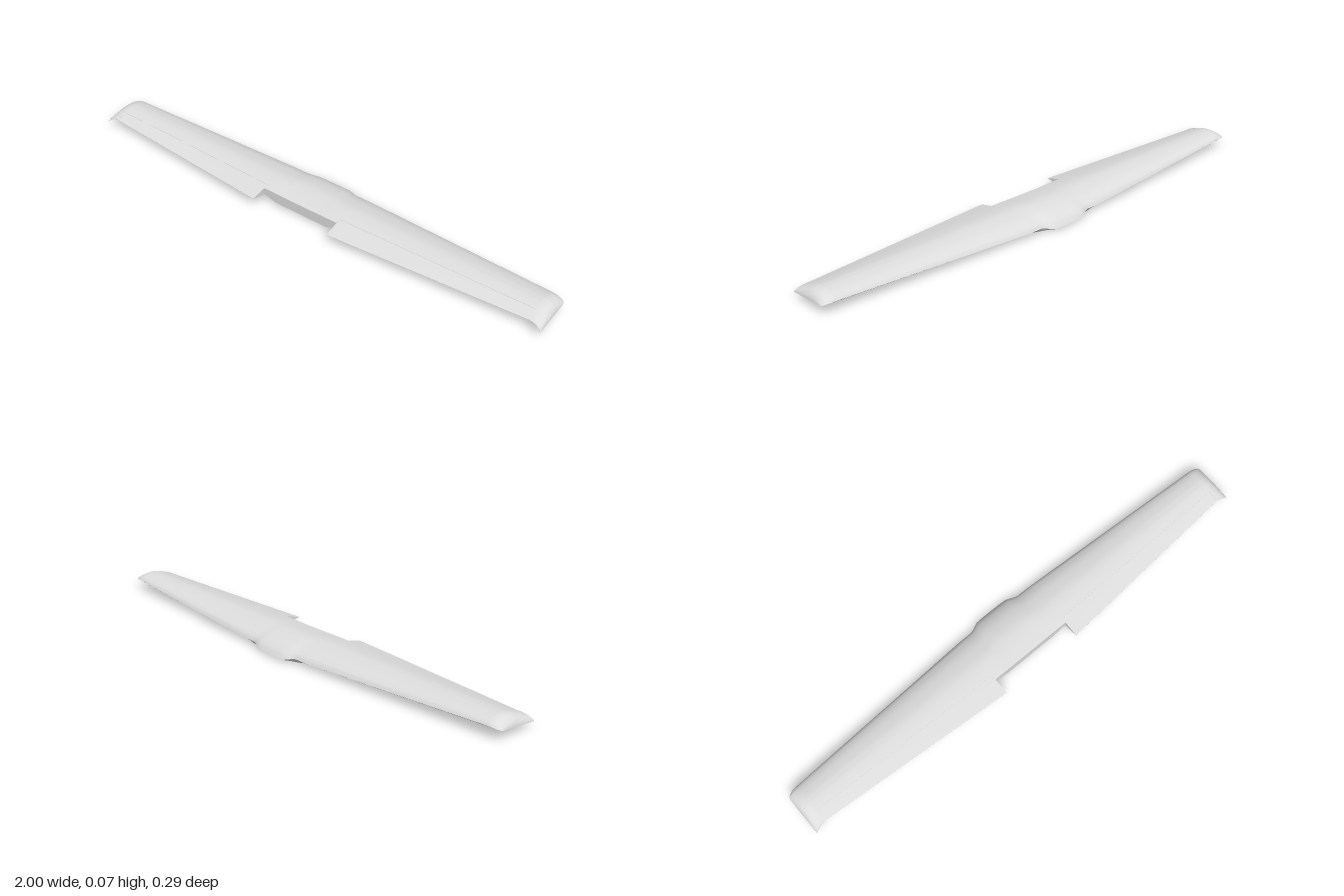
import * as THREE from 'three';
import { toCreasedNormals } from 'three/addons/utils/BufferGeometryUtils.js';

const { lerp, smoothstep, clamp } = THREE.MathUtils;
const ROOT = 0.17, TIP = 0.95, N = 20;

// airfoil heights at fractions T of the chord
const T = [0, 0.03, 0.08, 0.18, 0.3, 0.43, 0.55, 0.68, 0.8, 1];
const rootFoil = {
  le: -0.122, te: 0.145,
  up: [0.018, 0.031, 0.041, 0.054, 0.062, 0.067, 0.065, 0.059, 0.052, 0.039],
  low: [0.018, 0.014, 0.012, 0.011, 0.011, 0.012, 0.015, 0.02, 0.026, 0.037],
};
const tipFoil = {
  le: -0.074, te: 0.088,
  up: [0.043, 0.05, 0.056, 0.062, 0.066, 0.068, 0.066, 0.061, 0.055, 0.043],
  low: [0.043, 0.039, 0.037, 0.036, 0.035, 0.035, 0.036, 0.038, 0.039, 0.041],
};
const bellyFoil = {
  le: -0.145, te: 0.145,
  up: [0.006, 0.019, 0.033, 0.05, 0.061, 0.067, 0.065, 0.059, 0.052, 0.039],
  low: [0.006, 0.004, 0.005, 0.006, 0.007, 0.008, 0.01, 0.011, 0.012, 0.013],
};

function mix(a, b, k) {
  const rows = (p, q) => p.map((v, i) => lerp(v, q[i], k));
  return { le: lerp(a.le, b.le, k), te: lerp(a.te, b.te, k), up: rows(a.up, b.up), low: rows(a.low, b.low) };
}

// cubic interpolation through the height table
function height(row, t) {
  let i = 0;
  while (i < T.length - 2 && t > T[i + 1]) i++;
  const slope = (k) => {
    const a = Math.max(k - 1, 0), b = Math.min(k + 1, T.length - 1);
    return (row[b] - row[a]) / (T[b] - T[a]);
  };
  const h = T[i + 1] - T[i], u = clamp((t - T[i]) / h, 0, 1), u2 = u * u, u3 = u2 * u;
  return (2 * u3 - 3 * u2 + 1) * row[i] + (u3 - 2 * u2 + u) * h * slope(i)
    + (3 * u2 - 2 * u3) * row[i + 1] + (u3 - u2) * h * slope(i + 1);
}

// closed ring: upper skin from back to front, then lower skin from front to back
function ring(x, foil, t0, t1, drop = 0) {
  const up = [], low = [];
  for (let i = 0; i <= N; i++) {
    const u = i / N, t = t0 + (t1 - t0) * (t0 === 0 ? u * u : u);
    const z = lerp(foil.le, foil.te, t);
    up.push([x, height(foil.up, t) - drop, z]);
    low.push([x, height(foil.low, t), z]);
  }
  return [...up.reverse(), ...low];
}

// skin over rings sorted by rising x, with both ends capped
function loft(rings) {
  const m = rings[0].length, index = [];
  rings.slice(1).forEach((_, i) => {
    for (let j = 0; j < m; j++) {
      const k = (j + 1) % m, a = i * m + j, b = a + m, c = i * m + k, d = c + m;
      index.push(a, b, c, b, d, c);
    }
  });
  const end = (rings.length - 1) * m;
  for (let j = 0; j < m / 2 - 1; j++) {
    const a = j, b = j + 1, c = m - 1 - j, d = m - 2 - j;
    index.push(a, b, c, b, d, c, end + a, end + c, end + b, end + b, end + c, end + d);
  }
  const g = new THREE.BufferGeometry();
  g.setAttribute('position', new THREE.Float32BufferAttribute(rings.flat(2), 3));
  g.setIndex(index);
  return toCreasedNormals(g, 0.7);
}

const foilAt = (x) => mix(rootFoil, tipFoil, (Math.abs(x) - ROOT) / (TIP - ROOT));
const hingeAt = (x) => {
  const f = foilAt(x), z = lerp(0.065, 0.046, (Math.abs(x) - ROOT) / (TIP - ROOT));
  return (z - f.le) / (f.te - f.le);
};

export function createModel() {
  const group = new THREE.Group();
  const paint = new THREE.MeshStandardMaterial({ color: 0xdedede });
  const add = (name, geometry) => {
    const mesh = new THREE.Mesh(geometry, paint);
    mesh.name = name;
    group.add(mesh);
    return mesh;
  };

  // centre section with bulged nose, deep belly and a cut-off back
  const half = [0, 0.04, 0.07, 0.085, 0.095, 0.105, 0.115, 0.13, 0.145, 0.16, ROOT];
  const stations = [...half.slice(1).reverse().map((x) => -x), ...half];
  add('centreSection', loft(stations.map((x) => {
    const a = Math.abs(x);
    const f = mix(bellyFoil, rootFoil, smoothstep(a, 0.06, 0.12));
    f.low = mix(bellyFoil, rootFoil, smoothstep(a, 0.11, ROOT)).low;
    f.low[0] = f.up[0];
    f.low = f.low.map((y, i) => Math.min(y, f.up[i]));
    return ring(x, f, 0, (0.085 - f.le) / (f.te - f.le));
  })));

  // raised frame around the shallow mounting recess underneath
  const outline = new THREE.Shape([[-0.12, -0.08], [0.12, -0.08], [0.1, 0.115], [-0.1, 0.115]]
    .map((p) => new THREE.Vector2(...p)));
  outline.holes.push(new THREE.Path([[-0.095, -0.055], [-0.08, 0.09], [0.08, 0.09], [0.095, -0.055]]
    .map((p) => new THREE.Vector2(...p))));
  const frame = add('mountingFrame', new THREE.ExtrudeGeometry(outline, { depth: 0.008, bevelEnabled: false }));
  frame.rotation.x = -Math.PI / 2 - 0.03;
  frame.position.y = 0.0035;

  for (const side of [1, -1]) {
    const label = side > 0 ? 'left' : 'right';
    const sorted = (list) => (side > 0 ? list : [...list].reverse());
    const span = sorted([0, 0.25, 0.5, 0.75, 1].map((k) => side * lerp(ROOT, TIP, k)));

    // main panel and the trailing flap behind its hinge line
    add(label + 'WingPanel', loft(span.map((x) => ring(x, foilAt(x), 0, hingeAt(x)))));
    add(label + 'Flap', loft(span.map((x) => ring(x, foilAt(x), hingeAt(x), 1, 0.001))));

    // rounded tip that droops to a thin lower edge
    const base = ring(TIP, tipFoil, 0, 1);
    const tip = Array.from({ length: 9 }, (_, i) => {
      const a = (i / 8) * Math.PI / 2, s = Math.sin(a);
      return base.map(([, y, z], j) => {
        const t = (z - tipFoil.le) / (tipFoil.te - tipFoil.le);
        const w = j <= N ? 1 - Math.cos(a) : s * s;
        return [side * (TIP + 0.05 * s), lerp(y, lerp(0.036, 0.021, t), w), lerp(z, lerp(-0.055, 0.1, t), w)];
      });
    });
    add(label + 'WingTip', loft(sorted(tip)));
  }
  return group;
}
